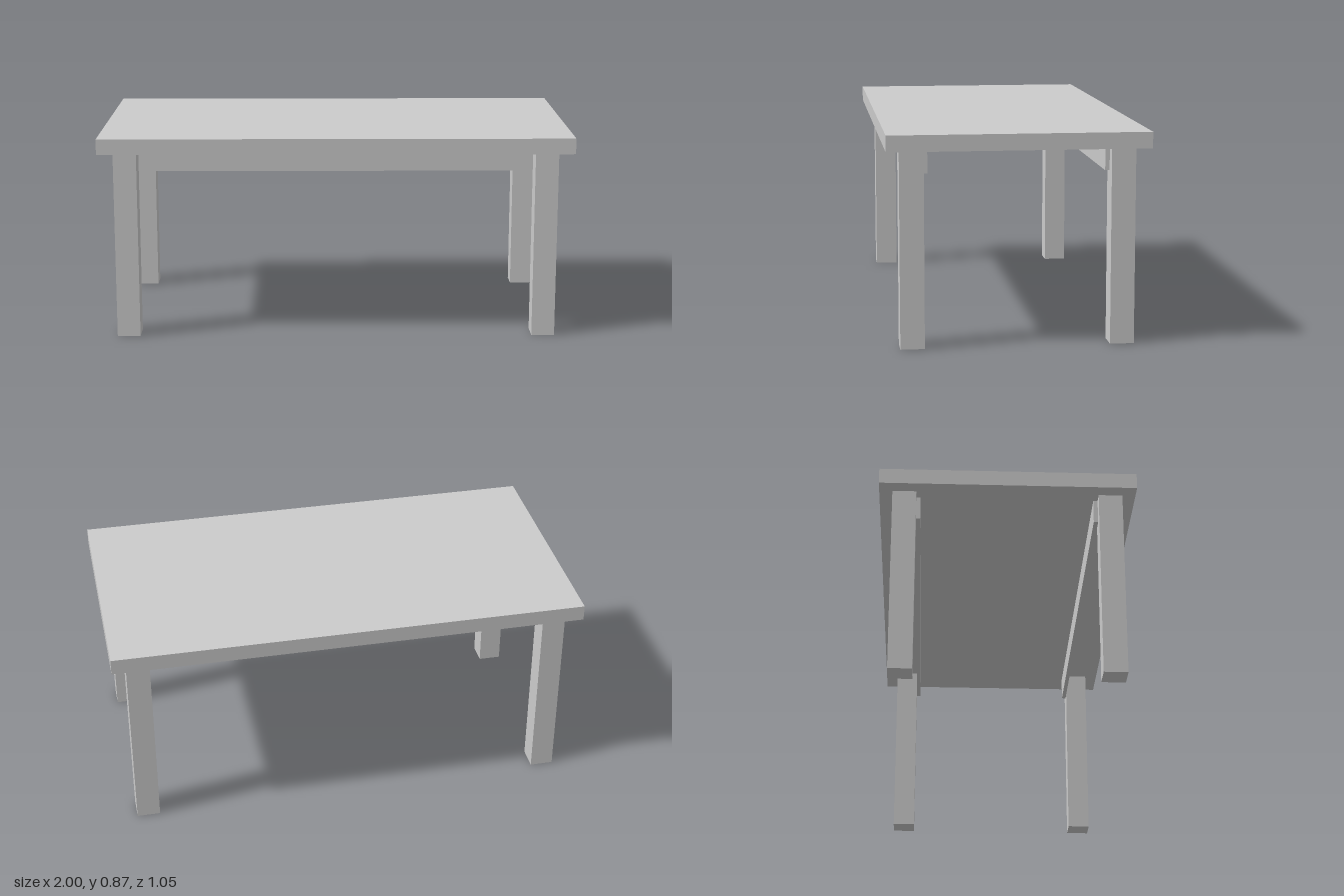
import * as THREE from 'three';

const material = new THREE.MeshStandardMaterial({ color: 0xcccccc, flatShading: true });

// Named box given by its size and centre
function box(name, [w, h, d], [x, y, z]) {
  const mesh = new THREE.Mesh(new THREE.BoxGeometry(w, h, d), material);
  mesh.name = name;
  mesh.position.set(x, y, z);
  return mesh;
}

export function createModel() {
  const table = new THREE.Group();
  table.name = 'table';

  const legHeight = 0.802;
  const topThickness = 0.066;
  table.add(box('tabletop', [2, topThickness, 1.054], [0, legHeight + topThickness / 2, 0]));

  for (const [end, z] of [['front', 1], ['back', -1]]) {
    // Square legs, set in from the corners
    for (const [side, x] of [['Left', 1], ['Right', -1]]) {
      table.add(box(`${end}${side}Leg`, [0.098, legHeight, 0.098], [x * 0.889, legHeight / 2, z * 0.424]));
    }
    // Long rail fixed to the inner faces of the legs, ending at mid-leg
    table.add(box(`${end}Rail`, [1.778, 0.1, 0.018], [0, legHeight - 0.05, z * 0.366]));
  }
  return table;
}
